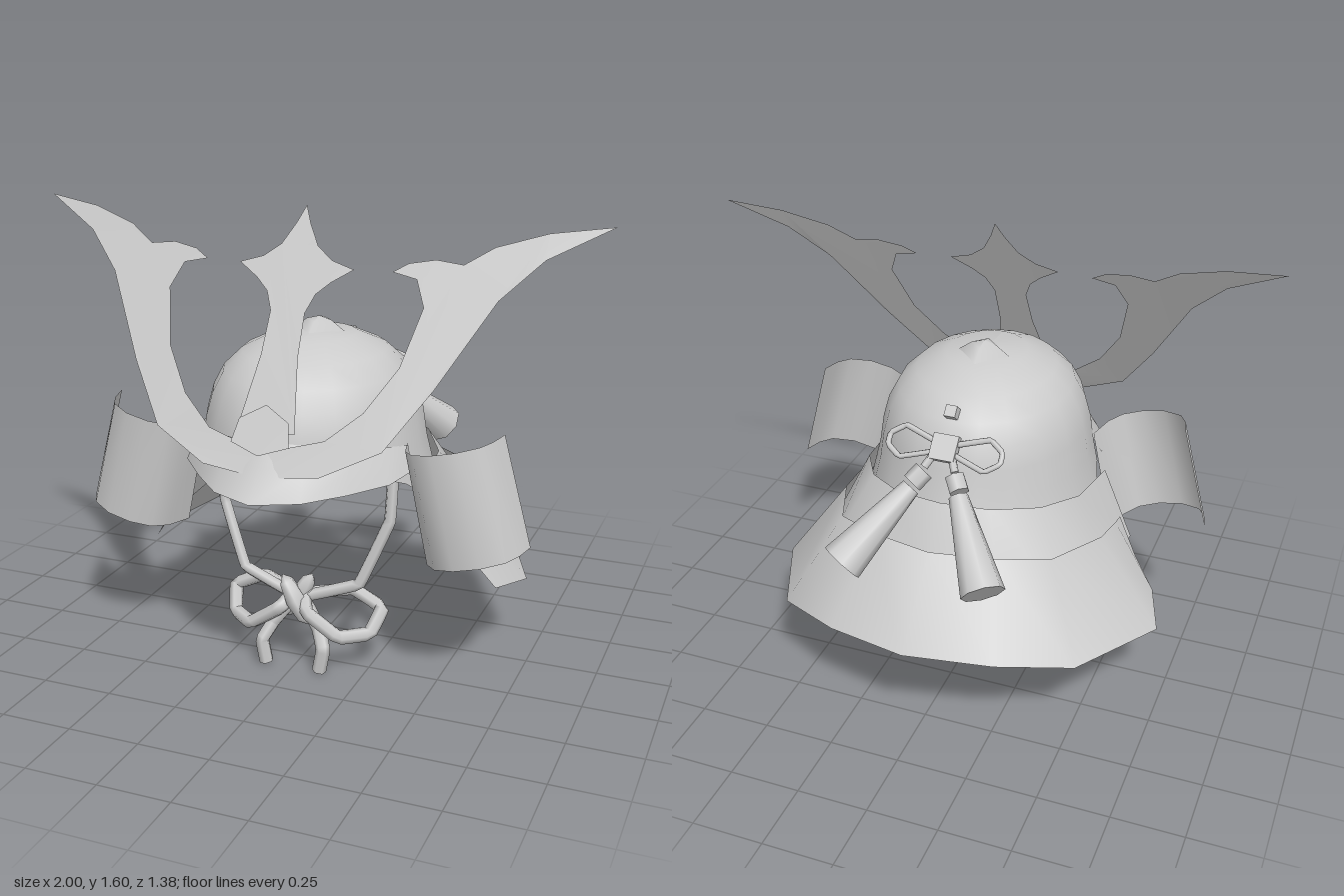
import * as THREE from 'three';

const mat = new THREE.MeshStandardMaterial({ color: 0xcccccc, side: THREE.DoubleSide });
const V = (p) => new THREE.Vector3(...p);
const flipX = (pts) => pts.map(([x, ...rest]) => [-x, ...rest]);
// half outline starting on the centre line -> full left-to-right row
const fullRow = (half) => [...flipX(half.slice(1)).reverse(), ...half];

function add(parent, name, geometry) {
  const mesh = new THREE.Mesh(geometry, mat);
  mesh.name = name;
  parent.add(mesh);
  return mesh;
}

// smooth sheet through rows of equal length
function loft(rows) {
  const n = rows[0].length, index = [];
  for (let r = 0; r < rows.length - 1; r++)
    for (let i = 0; i < n - 1; i++) {
      const a = r * n + i, b = a + n;
      index.push(a, b, a + 1, b, b + 1, a + 1);
    }
  const g = new THREE.BufferGeometry();
  g.setAttribute('position', new THREE.Float32BufferAttribute(rows.flat(2), 3));
  g.setIndex(index);
  g.computeVertexNormals();
  return g;
}

// cord running nearly straight between its corner points
function cord(pts, radius, closed = false, segments = 32) {
  const curve = new THREE.CatmullRomCurve3(pts.map(V), closed, 'catmullrom', 0.06);
  return new THREE.TubeGeometry(curve, segments, radius, 6, closed);
}

// thin ornament leaning backwards with height, its sides curling back
function leaning(outline, forward) {
  const g = new THREE.ShapeGeometry(new THREE.Shape(outline.map(([x, y]) => new THREE.Vector2(x, y))));
  const p = g.attributes.position;
  for (let i = 0; i < p.count; i++)
    p.setZ(i, 0.61 - (p.getY(i) - 0.795) * 0.53 - 0.06 * p.getX(i) ** 2 + forward);
  g.computeVertexNormals();
  return g;
}

function rod(a, b, ra, rb, sides = 8) {
  const A = V(a), B = V(b), d = B.clone().sub(A);
  const g = new THREE.CylinderGeometry(rb, ra, d.length(), sides);
  g.applyQuaternion(new THREE.Quaternion().setFromUnitVectors(new THREE.Vector3(0, 1, 0), d.normalize()));
  const c = A.add(B).multiplyScalar(0.5);
  return g.translate(c.x, c.y, c.z);
}

export function createModel() {
  const model = new THREE.Group();
  model.name = 'helmet';

  // oval bowl, flared at the back and sides, rim raised at the front
  const profile = [[0, 1.17], [0.38, 1.16], [0.66, 1.11], [0.83, 1.05], [0.93, 0.98], [0.99, 0.9], [1.03, 0.8], [1.04, 0.67]];
  const bowl = new THREE.LatheGeometry(profile.map(([r, y]) => new THREE.Vector2(r, y)).reverse(), 20);
  const bp = bowl.attributes.position;
  for (let i = 0; i < bp.count; i++) {
    const z = bp.getZ(i);
    let flare = 1;
    if (bp.getY(i) < 0.7) {
      const front = THREE.MathUtils.clamp(z * 2, 0, 1);
      bp.setY(i, z < 0 ? 0.62 + 0.05 * z * z : 0.62 + 0.14 * front);
      flare = 1.1 - 0.1 * front;
    }
    bp.setX(i, bp.getX(i) * 0.37 * flare);
    bp.setZ(i, z * 0.425 * flare + 0.125);
  }
  bowl.computeVertexNormals();
  add(model, 'bowl', bowl);

  const knob = new THREE.LatheGeometry([[0.095, 1.162], [0.045, 1.198], [0, 1.21]].map(([r, y]) => new THREE.Vector2(r, y)), 4);
  add(model, 'topKnob', knob.translate(0, 0, 0.09));

  // visor
  add(model, 'visor', loft([
    fullRow([[0, 0.9, 0.55], [0.13, 0.89, 0.525], [0.25, 0.87, 0.44], [0.33, 0.85, 0.33], [0.37, 0.83, 0.22]]),
    fullRow([[0, 0.83, 0.605], [0.14, 0.82, 0.57], [0.255, 0.81, 0.475], [0.35, 0.8, 0.36], [0.385, 0.79, 0.24]]),
    fullRow([[0, 0.728, 0.685], [0.15, 0.73, 0.62], [0.26, 0.735, 0.51], [0.365, 0.745, 0.39], [0.4, 0.755, 0.25]]),
  ]));

  // two overlapping neck guard plates
  add(model, 'upperNeckGuard', loft([
    fullRow([[0, 0.8, -0.342], [0.17, 0.785, -0.3], [0.31, 0.76, -0.19], [0.4, 0.735, -0.03], [0.425, 0.71, 0.21]]),
    fullRow([[0, 0.54, -0.47], [0.25, 0.53, -0.425], [0.43, 0.51, -0.33], [0.525, 0.48, -0.07], [0.535, 0.45, 0.21]]),
  ]));
  add(model, 'lowerNeckGuard', loft([
    fullRow([[0, 0.665, -0.445], [0.22, 0.655, -0.39], [0.385, 0.635, -0.3], [0.49, 0.595, -0.05], [0.505, 0.575, 0.09], [0.505, 0.565, 0.15]]),
    fullRow([[0, 0.41, -0.69], [0.295, 0.385, -0.61], [0.535, 0.35, -0.48], [0.72, 0.28, -0.085], [0.655, 0.31, 0.1], [0.575, 0.42, 0.135]]),
  ]));

  // turned-back side wings: fraction from outer to inner edge, depth
  const wingCurve = [[0, 0.235], [0.05, 0.31], [0.14, 0.365], [0.35, 0.405], [0.6, 0.41], [0.8, 0.385], [0.92, 0.33], [1, 0.23]];
  const mix = THREE.MathUtils.lerp;
  for (const s of [1, -1]) {
    const side = s > 0 ? 'left' : 'right';
    const row = (o, i) => wingCurve.map(([t, z]) => [s * mix(o[0], i[0], t), mix(o[1], i[1], t), z]);
    add(model, side + 'Wing', loft([row([0.7, 0.91], [0.37, 0.84]), row([0.8, 0.535], [0.45, 0.455])]));
  }

  // horned crest
  const upper = [[0, 0.867], [0.2, 0.92], [0.31, 1.01], [0.4, 1.145], [0.445, 1.32], [0.408, 1.4], [0.325, 1.417],
    [0.375, 1.445], [0.46, 1.46], [0.55, 1.45], [0.64, 1.505], [0.8, 1.552]];
  const lower = [[1, 1.578], [0.8, 1.475], [0.675, 1.353], [0.52, 1.09], [0.39, 0.905], [0.2, 0.815], [0, 0.795]];
  const hornHalf = [...upper, ...lower];
  add(model, 'hornCrest', leaning([...hornHalf, ...flipX(hornHalf.slice(1, -1)).reverse()], 0));

  // middle blade and its base plate
  const blade = [[0, 1.6], [0.025, 1.545], [0.064, 1.48], [0.12, 1.44], [0.2, 1.417], [0.13, 1.375], [0.085, 1.337],
    [0.06, 1.28], [0.064, 1.15], [0.1, 0.93]];
  add(model, 'middleBlade', leaning([...blade, ...flipX(blade.slice(1)).reverse()], 0.008));
  const plate = [[0, 1.015], [0.085, 0.97], [0.1, 0.9], [0, 0.868]];
  add(model, 'crestPlate', leaning([...plate, ...flipX(plate.slice(1, -1)).reverse()], 0.04));

  // chin cord with bow, hanging ends and a knot of crossed spindles
  const chin = new THREE.Group();
  chin.name = 'chinCord';
  model.add(chin);
  for (const s of [1, -1]) {
    const path = (pts) => pts.map(([x, y, z]) => [s * x, y, z]);
    add(chin, 'strap', cord(path([[0.315, 0.76, 0.2], [0.31, 0.55, 0.22], [0.215, 0.32, 0.26], [0.02, 0.25, 0.28]]), 0.021));
    add(chin, 'bowLoop', cord(path([[0.02, 0.26, 0.28], [0.17, 0.27, 0.2], [0.28, 0.215, 0.2], [0.255, 0.14, 0.26],
      [0.165, 0.14, 0.33], [0.05, 0.22, 0.34]]), 0.025, true));
    add(chin, 'cordEnd', cord(path([[0.01, 0.25, 0.28], [0.085, 0.15, 0.31], [0.115, 0.09, 0.345], [0.1, 0.008, 0.345]]), 0.025));
    const spindle = add(chin, 'knotSpindle', new THREE.SphereGeometry(1, 6, 4));
    spindle.scale.set(0.035, 0.1, 0.045);
    spindle.position.set(0, 0.25, 0.295 + s * 0.02);
    spindle.rotation.z = s * 0.5;
  }

  // rear bow with two tassels
  const rear = new THREE.Group();
  rear.name = 'rearBow';
  model.add(rear);
  const onSlope = (x, v) => [x, 0.98 + v * 0.74, -0.285 + v * 0.67];
  const box = (name, size, depth, [x, y, z]) => {
    const m = add(rear, name, new THREE.BoxGeometry(size, size, depth));
    m.position.set(x, y, z);
    m.rotation.x = 0.74;
  };
  box('rearKnot', 0.09, 0.03, onSlope(0, 0));
  box('rearBead', 0.04, 0.04, [0, 1.08, -0.215]);
  for (const s of [1, -1]) {
    add(rear, 'rearLoop', cord([onSlope(s * 0.03, 0.015), onSlope(s * 0.15, 0.055), onSlope(s * 0.2, 0.02),
      onSlope(s * 0.2, -0.02), onSlope(s * 0.15, -0.055), onSlope(s * 0.03, -0.015)], 0.01, true));
    add(rear, 'rearCord', rod(onSlope(s * 0.03, -0.02), onSlope(s * 0.055, -0.075), 0.014, 0.014, 6));
    add(rear, 'tasselBead', rod([s * 0.055, 0.91, -0.335], [s * 0.085, 0.875, -0.37], 0.036, 0.036, 6));
    add(rear, 'tassel', rod([s * 0.085, 0.865, -0.38], [s * 0.25, 0.655, -0.59], 0.033, 0.075));
  }
  return model;
}
